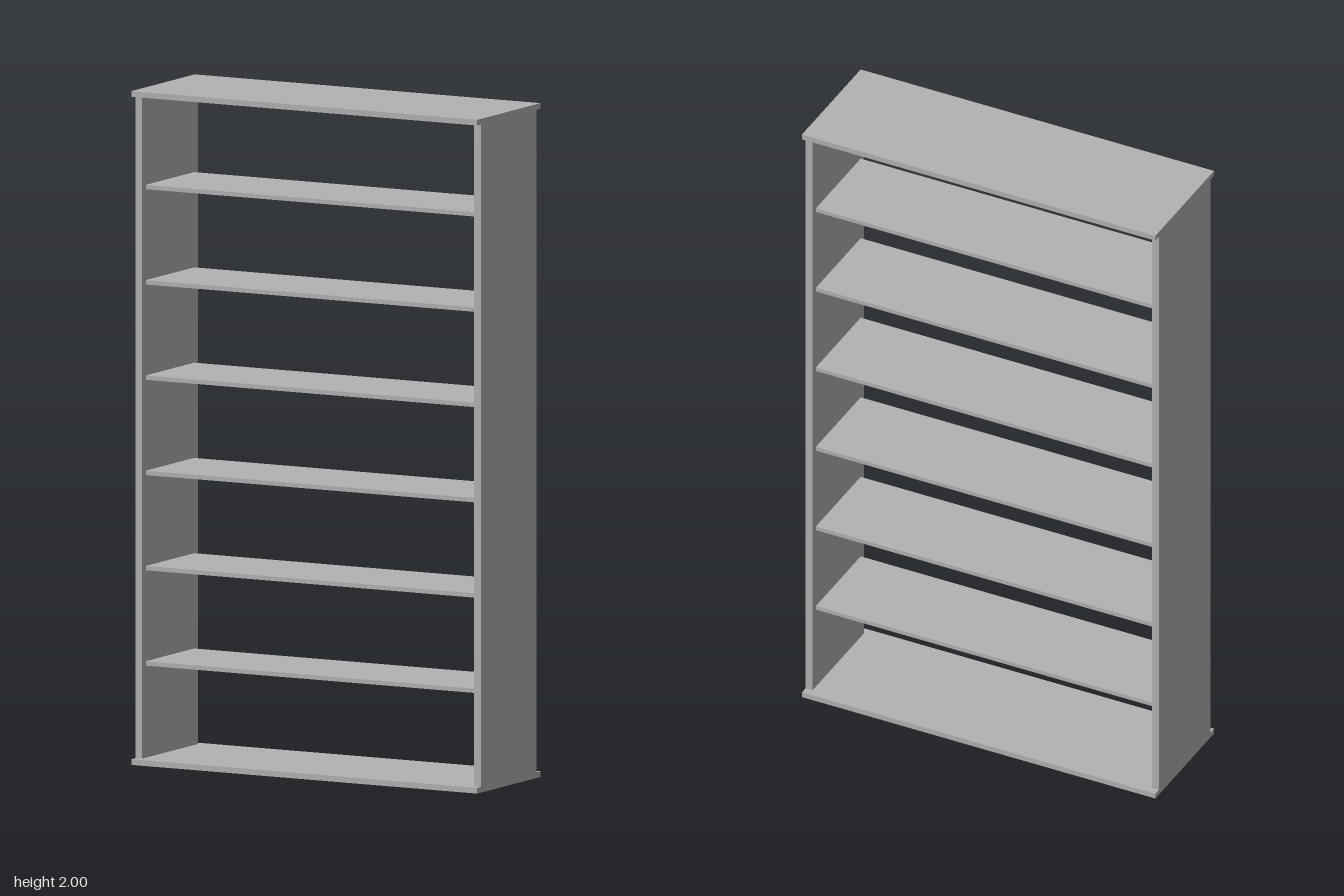
import * as THREE from 'three';

export function createModel() {
  const group = new THREE.Group();
  group.name = 'bookcase';
  const grey = new THREE.MeshStandardMaterial({ color: 0xb2b2b2 });
  grey.name = 'grey';

  const width = 1.164, board = 0.017, side = 0.023;

  function addBoard(name, w, h, d, x, y) {
    const mesh = new THREE.Mesh(new THREE.BoxGeometry(w, h, d), grey);
    mesh.name = name;
    mesh.position.set(x, y, 0);
    group.add(mesh);
  }

  // Overhanging top and base boards
  addBoard('topBoard', width, board, 0.38, 0, 2 - board / 2);
  addBoard('baseBoard', width, board, 0.38, 0, board / 2);

  // Side panels between them
  for (const s of [-1, 1]) {
    addBoard(s > 0 ? 'leftPanel' : 'rightPanel', side, 2 - 2 * board, 0.334, s * (width - side) / 2, 1);
  }

  // Six evenly spaced shelves, set back slightly from the panel edges
  for (let i = 0; i < 6; i++) {
    addBoard('shelf' + (i + 1), width - 2 * side, 0.013, 0.29, 0, 0.297 + i * 0.2828);
  }
  return group;
}
